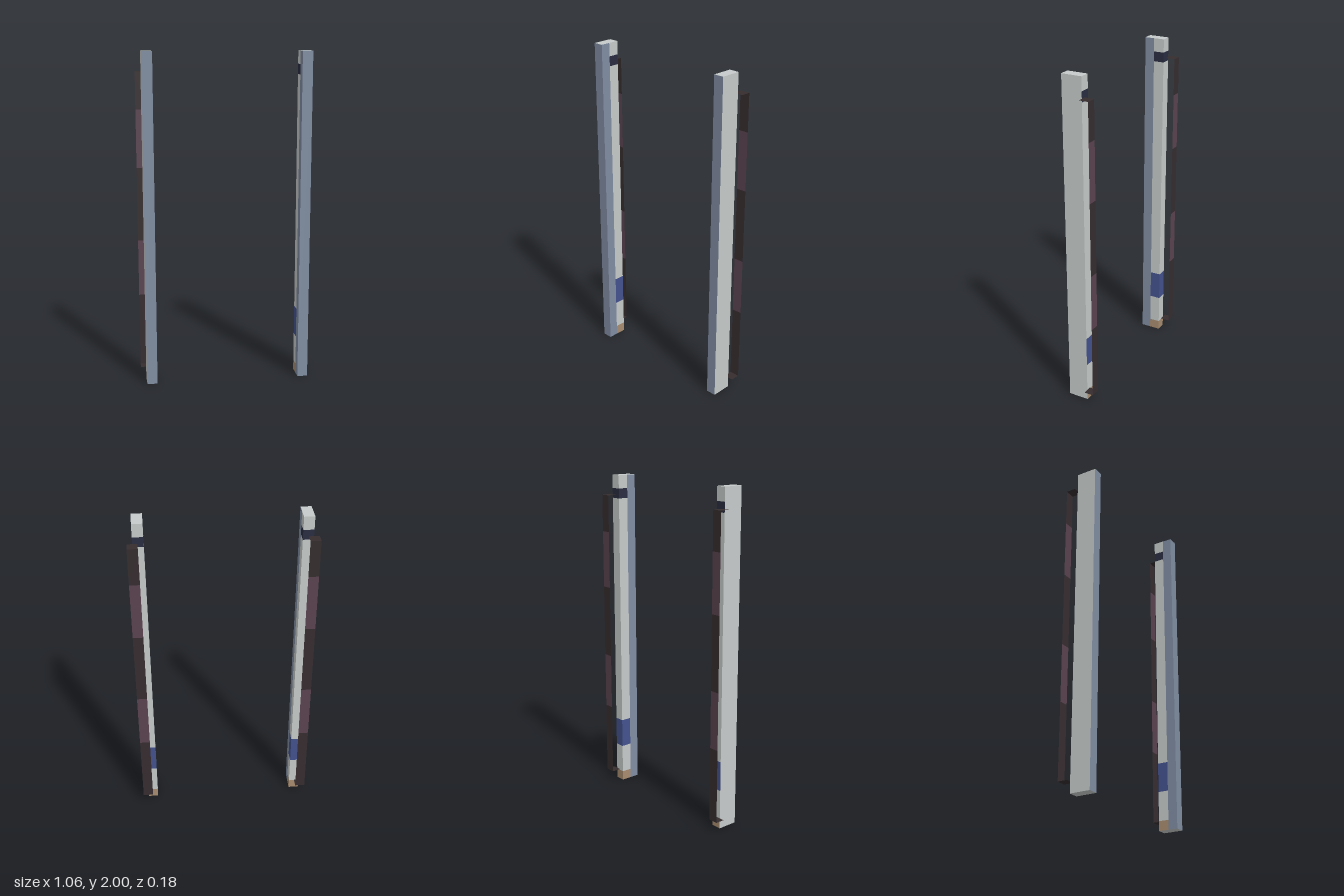
import * as THREE from 'three';

const mat = (name, color, side = THREE.FrontSide) => {
  const m = new THREE.MeshStandardMaterial({ color, side });
  m.name = name;
  return m;
};

export function createModel() {
  const gray = mat('paleGray', 0xc6cbca);
  const slate = mat('slateBlue', 0x808da2);
  const navy = mat('darkNavy', 0x2a2d42);
  const blue = mat('bandBlue', 0x44528e);
  const tan = mat('baseTan', 0xa88c70);
  const dark = mat('darkPanel', 0x362d2f, THREE.DoubleSide);
  const plum = mat('plumPanel', 0x5a4350, THREE.DoubleSide);

  // Flat rectangle facing one of the axis directions
  const turns = {
    '+x': [0, Math.PI / 2], '-x': [0, -Math.PI / 2],
    '+y': [-Math.PI / 2, 0], '-y': [Math.PI / 2, 0],
    '+z': [0, 0], '-z': [0, Math.PI],
  };
  const face = (parent, name, material, dir, w, h, x, y, z) => {
    const m = new THREE.Mesh(new THREE.PlaneGeometry(w, h), material);
    m.name = name;
    m.rotation.set(turns[dir][0], turns[dir][1], 0);
    m.position.set(x, y, z);
    parent.add(m);
  };

  // Post: inner and outer x, back, colour split and front z
  const xi = 0.436, xo = 0.498, zb = -0.034, zs = 0.031, zf = 0.09;
  const w = xo - xi, d = zf - zb, xc = (xi + xo) / 2, zc = (zb + zf) / 2;

  // Colour bands up the back of each post: [bottom, top, material]
  const postBands = [
    [0, 0.06, tan], [0.06, 0.24, gray], [0.24, 0.42, blue],
    [0.42, 1.86, gray], [1.86, 1.92, navy], [1.92, 2, gray],
  ];
  // Colour bands of the hanging strip
  const stripBands = [
    [0.065, 0.515, dark], [0.515, 0.86, plum], [0.86, 1.305, dark],
    [1.305, 1.655, plum], [1.655, 1.88, dark],
  ];

  const model = new THREE.Group();
  model.name = 'postPair';

  for (const s of [1, -1]) {
    const label = s > 0 ? 'left' : 'right';
    const outer = s > 0 ? '+x' : '-x', inner = s > 0 ? '-x' : '+x';

    const post = new THREE.Group();
    post.name = label + 'Post';
    face(post, 'postFront', slate, '+z', w, 2, s * xc, 1, zf);
    face(post, 'postOuterSide', gray, outer, d, 2, s * xo, 1, zc);
    face(post, 'postInnerFrontHalf', slate, inner, zf - zs, 2, s * xi, 1, (zf + zs) / 2);
    face(post, 'postTop', gray, '+y', w, d, s * xc, 2, zc);
    face(post, 'postBottom', gray, '-y', w, d, s * xc, 0, zc);
    for (const [y0, y1, m] of postBands) {
      const y = (y0 + y1) / 2, h = y1 - y0;
      face(post, 'postBackBand', m, '-z', w, h, s * xc, y, zb);
      face(post, 'postInnerBand', m, inner, zs - zb, h, s * xi, y, (zs + zb) / 2);
    }

    // Thin strip behind the post, held by a flat bracket at each end
    const strip = new THREE.Group();
    strip.name = label + 'Strip';
    const sx = s * 0.499, sw = 0.061, sz = -0.091;
    for (const [y0, y1, m] of stripBands)
      face(strip, 'stripBand', m, '-z', sw, y1 - y0, sx, (y0 + y1) / 2, sz);
    face(strip, 'topBracket', dark, '+y', sw, zb - sz, sx, 1.88, (zb + sz) / 2);
    face(strip, 'bottomBracket', dark, '-y', sw, zb - sz, sx, 0.065, (zb + sz) / 2);

    model.add(post, strip);
  }
  return model;
}
